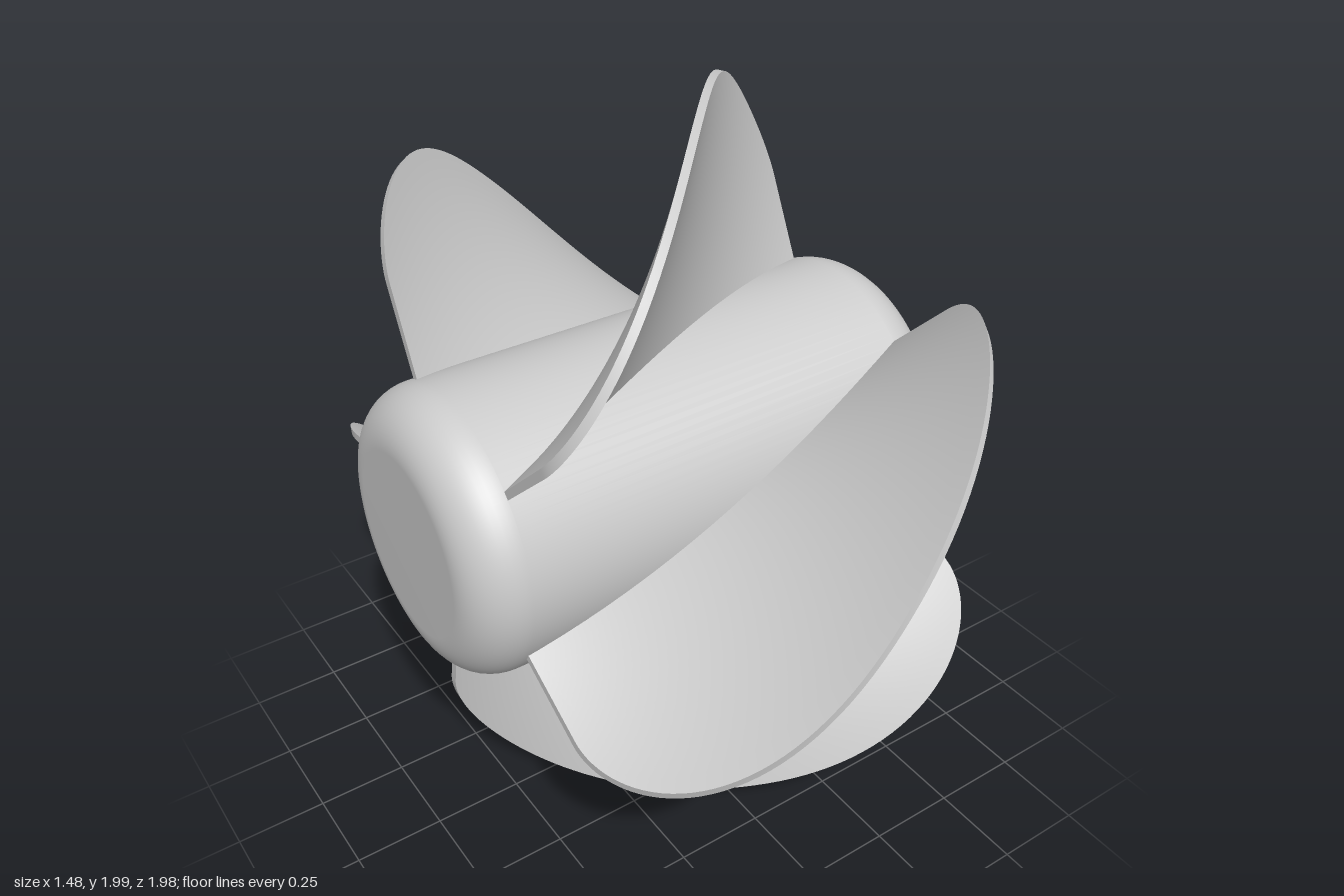
import * as THREE from 'three';
import { toCreasedNormals } from 'three/addons/utils/BufferGeometryUtils.js';

const HALF = 0.6;                                  // half length of a blade along the shaft
const PITCH = THREE.MathUtils.degToRad(37) / HALF; // twist per unit of length
const ROOT = 0.34;                                 // blade root, sunk into the hub

// Rounded blade outline: outer radius at a position along the shaft
const outerRadius = (x) =>
  0.63 + 0.384 * Math.pow(Math.max(0, 1 - Math.pow(Math.abs(x) / HALF, 2.5)), 0.55);

// Thin helical blade: two skins swept along the shaft, joined by a rim
function bladeGeometry(nx = 72, nr = 14, halfThickness = 0.01) {
  const pos = [], index = [];
  const row = nr + 1, skin = (nx + 1) * row;
  for (const side of [1, -1]) {
    for (let i = 0; i <= nx; i++) {
      const x = -HALF * Math.cos((Math.PI * i) / nx);
      const a = PITCH * x, s = Math.sin(a), c = Math.cos(a);
      for (let j = 0; j <= nr; j++) {
        const r = THREE.MathUtils.lerp(ROOT, outerRadius(x), j / nr);
        const t = side * halfThickness * Math.hypot(1, r * PITCH);
        pos.push(x, r * s + t * c, r * c - t * s);
      }
    }
  }
  for (let i = 0; i < nx; i++) {
    for (let j = 0; j < nr; j++) {
      const a = i * row + j, b = a + 1, d = a + row, e = d + 1;
      index.push(a, b, e, a, e, d);
      index.push(a + skin, e + skin, b + skin, a + skin, d + skin, e + skin);
    }
  }
  // Rim around the outline
  const loop = [];
  for (let j = 0; j < nr; j++) loop.push(j);
  for (let i = 0; i < nx; i++) loop.push(i * row + nr);
  for (let j = nr; j > 0; j--) loop.push(nx * row + j);
  for (let i = nx; i > 0; i--) loop.push(i * row);
  loop.forEach((a, k) => {
    const b = loop[(k + 1) % loop.length];
    index.push(b, a, a + skin, b, a + skin, b + skin);
  });
  const geo = new THREE.BufferGeometry();
  geo.setAttribute('position', new THREE.Float32BufferAttribute(pos, 3));
  geo.setIndex(index);
  return toCreasedNormals(geo, 0.7);
}

// Solid hub with rounded ends, turned around the shaft axis
function hubGeometry(radius = 0.388, half = 0.74, corner = 0.14) {
  const pts = [new THREE.Vector2(0, -half)];
  for (const end of [-1, 1]) {
    for (let k = 0; k <= 12; k++) {
      const a = (Math.PI / 2) * (end < 0 ? k / 12 - 1 : k / 12);
      pts.push(new THREE.Vector2(
        radius - corner + corner * Math.cos(a),
        end * (half - corner) + corner * Math.sin(a)));
    }
  }
  pts.push(new THREE.Vector2(0, half));
  const geo = new THREE.LatheGeometry(pts, 96);
  geo.rotateZ(-Math.PI / 2);
  return geo;
}

export function createModel() {
  const model = new THREE.Group();
  model.name = 'propeller';
  const material = new THREE.MeshStandardMaterial({ color: 0xcccccc });

  const rotor = new THREE.Group();
  rotor.name = 'rotor';
  rotor.position.set(0, 0.99, -0.016);
  model.add(rotor);

  const hub = new THREE.Mesh(hubGeometry(), material);
  hub.name = 'hub';
  rotor.add(hub);

  // Five equal blades around the hub
  const blade = bladeGeometry();
  for (let k = 0; k < 5; k++) {
    const mesh = new THREE.Mesh(blade, material);
    mesh.name = `blade${k + 1}`;
    mesh.rotation.x = -THREE.MathUtils.degToRad(7.5 + 72 * k);
    rotor.add(mesh);
  }
  return model;
}
